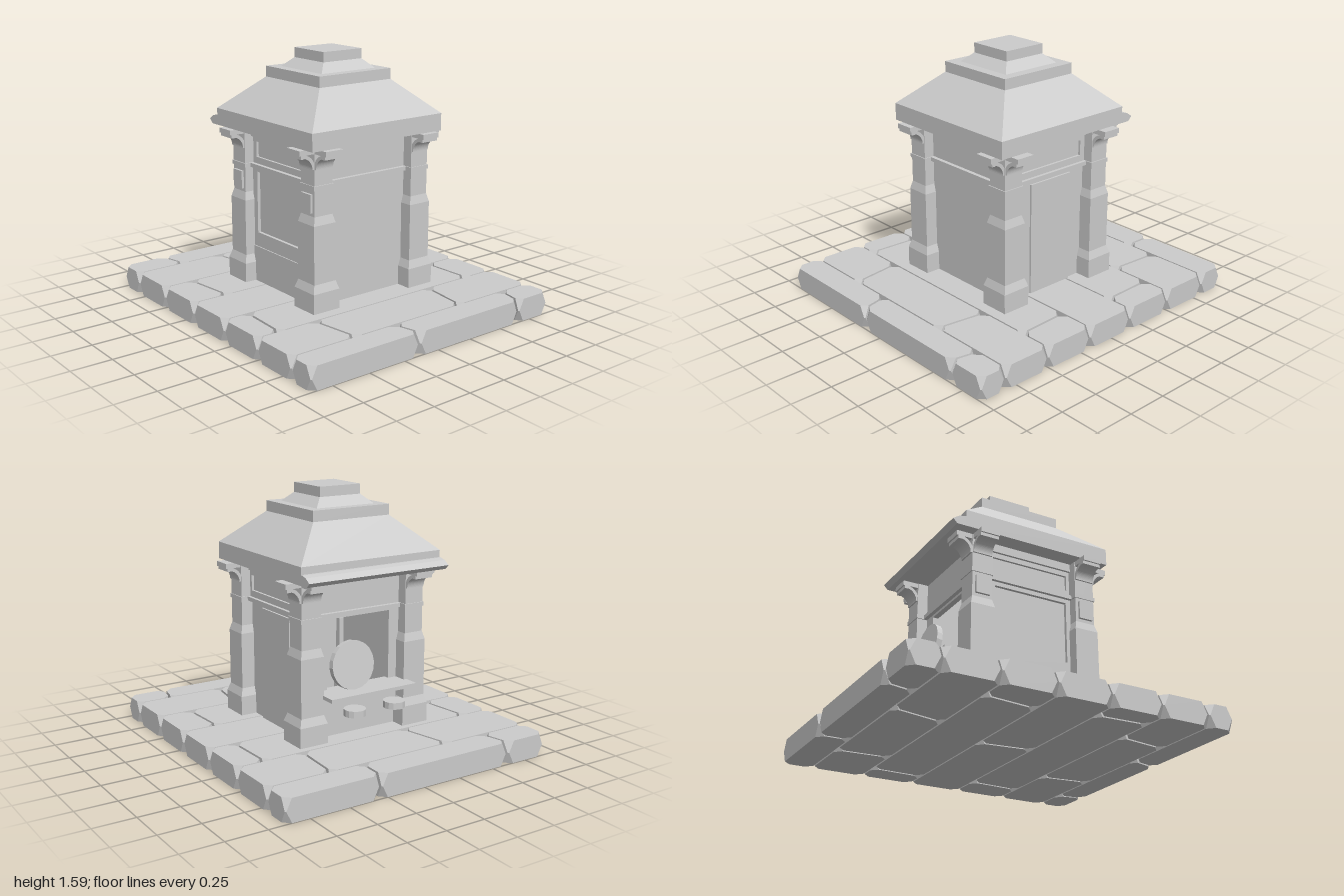
import * as THREE from 'three';

const grey = new THREE.MeshStandardMaterial({ color: 0xcccccc, flatShading: true, side: THREE.DoubleSide });

function add(parent, name, geometry, x = 0, y = 0, z = 0) {
  const mesh = new THREE.Mesh(geometry, grey);
  mesh.name = name;
  mesh.position.set(x, y, z);
  parent.add(mesh);
  return mesh;
}

// Box given by its limits on each axis
function block(parent, name, x0, x1, y0, y1, z0, z1) {
  return add(parent, name, new THREE.BoxGeometry(x1 - x0, y1 - y0, z1 - z0),
    (x0 + x1) / 2, (y0 + y1) / 2, (z0 + z1) / 2);
}

// Faceted solid through stacked rings; each ring is { y, points: [[x, z], ...] }
function loft(rings) {
  const pos = [];
  const n = rings[0].points.length;
  const put = (ring, i) => pos.push(ring.points[i % n][0], ring.y, ring.points[i % n][1]);
  for (let k = 0; k + 1 < rings.length; k++) {
    const a = rings[k], b = rings[k + 1];
    for (let i = 0; i < n; i++) {
      put(a, i); put(a, i + 1); put(b, i + 1);
      put(a, i); put(b, i + 1); put(b, i);
    }
  }
  const low = rings[0], high = rings[rings.length - 1];
  for (let i = 1; i + 1 < n; i++) {
    put(low, 0); put(low, i + 1); put(low, i);
    put(high, 0); put(high, i); put(high, i + 1);
  }
  const g = new THREE.BufferGeometry();
  g.setAttribute('position', new THREE.Float32BufferAttribute(pos, 3));
  g.computeVertexNormals();
  return g;
}

const rect = (x0, x1, z0, z1) => [[x0, z0], [x0, z1], [x1, z1], [x1, z0]];
const squareLoft = (profile) => loft(profile.map(([h, y]) => ({ y, points: rect(-h, h, -h, h) })));

// Cuts every corner of a polygon by a distance
function cutCorners(points, c) {
  const n = points.length;
  return points.flatMap((p, i) => [points[(i + n - 1) % n], points[(i + 1) % n]].map((q) => {
    const d = Math.hypot(q[0] - p[0], q[1] - p[1]);
    return [p[0] + (q[0] - p[0]) * c / d, p[1] + (q[1] - p[1]) * c / d];
  }));
}

// Rectangular frame in the xy plane, extruded along z
function frame(x0, x1, y0, y1, hx0, hx1, hy0, hy1, depth) {
  const s = new THREE.Shape([[x0, y0], [x1, y0], [x1, y1], [x0, y1]].map((p) => new THREE.Vector2(...p)));
  s.holes.push(new THREE.Path([[hx0, hy0], [hx0, hy1], [hx1, hy1], [hx1, hy0]].map((p) => new THREE.Vector2(...p))));
  return new THREE.ExtrudeGeometry(s, { depth, bevelEnabled: false });
}

function buildPaving() {
  const paving = new THREE.Group();
  paving.name = 'paving';
  // Column edges in x, and the slanted joints of each column as [z at left, z at right]
  const edges = [-1, -0.815, -0.485, -0.15, 0.185, 0.515, 0.83, 1];
  const joints = [
    [[-0.3, -0.295], [0.61, 0.57]],
    [[-0.5, -0.48], [0.3, 0.23]],
    [[-0.725, -0.735], [0.7, 0.66]],
    [[0.02, 0.06]],
    [[-0.68, -0.695], [0.73, 0.745]],
    [[-0.37, -0.33], [0.5, 0.455]],
    [[-0.68, -0.65], [0.18, 0.14]],
  ];
  const gap = 0.005;
  joints.forEach((column, c) => {
    const x0 = edges[c] + (c ? gap : 0), x1 = edges[c + 1] - (c < 6 ? gap : 0);
    const lines = [[-0.9, -0.9], ...column, [0.89, 0.89]];
    for (let i = 0; i + 1 < lines.length; i++) {
      const g0 = i ? 0.008 : 0, g1 = i + 2 < lines.length ? 0.008 : 0;
      const a = lines[i], b = lines[i + 1];
      const quad = [[x0, a[0] + g0], [x0, b[0] - g1], [x1, b[1] - g1], [x1, a[1] + g0]];
      add(paving, 'pavingStone', loft([[0, 0.04], [0.07, 0.006], [0.14, 0.04]]
        .map(([y, cut]) => ({ y, points: cutCorners(quad, cut) }))));
    }
  });
  return paving;
}

// Thin concave brace under a small slab, reaching out along +z
function buildBracket() {
  const bracket = new THREE.Group();
  bracket.name = 'bracket';
  block(bracket, 'bracketSlab', -0.06, 0.06, 1.075, 1.105, -0.03, 0.1);
  block(bracket, 'bracketLip', -0.06, 0.06, 1.055, 1.08, 0.065, 0.09);
  const s = new THREE.Shape();
  s.absarc(0.085, -0.115, 0.095, Math.PI / 2, Math.PI, false);
  s.absarc(0.085, -0.115, 0.075, Math.PI, Math.PI / 2, true);
  const brace = add(bracket, 'bracketBrace',
    new THREE.ExtrudeGeometry(s, { depth: 0.12, bevelEnabled: false, curveSegments: 8 }), 0.06, 1.1, 0);
  brace.rotation.y = -Math.PI / 2;
  return bracket;
}

export function createModel() {
  const model = new THREE.Group();
  model.name = 'kiosk';
  model.add(buildPaving());

  // Corner pillars with caps and outward brackets
  for (const sx of [-1, 1]) for (const sz of [-1, 1]) {
    const cx = sx * 0.348, cz = sz > 0 ? 0.355 : -0.37;
    const pillar = new THREE.Group();
    pillar.name = 'pillar';
    add(pillar, 'pillarShaft', squareLoft([[0.093, 0.14], [0.093, 0.26], [0.077, 0.31],
      [0.077, 0.66], [0.064, 0.71], [0.064, 1.11]]), cx, 0, cz);
    block(pillar, 'pillarCap', cx - 0.07, cx + 0.07, 0.865, 0.89, cz - 0.07, cz + 0.07);
    if (sz > 0) block(pillar, 'pillarPlaque', cx - 0.045, cx + 0.045, 0.73, 0.84, 0.41, 0.434);
    const outward = buildBracket();
    outward.position.set(cx, 0, cz + sz * 0.064);
    outward.rotation.y = sz > 0 ? 0 : Math.PI;
    const sideways = buildBracket();
    sideways.position.set(cx + sx * 0.064, 0, cz);
    sideways.rotation.y = sx * Math.PI / 2;
    pillar.add(outward, sideways);
    model.add(pillar);
  }

  // Walls, the right one (-x) open above the counter
  const walls = new THREE.Group();
  walls.name = 'walls';
  block(walls, 'frontWall', -0.33, 0.33, 0.14, 1.11, 0.31, 0.345);
  block(walls, 'backWall', -0.33, 0.33, 0.14, 1.11, -0.36, -0.325);
  block(walls, 'leftWall', 0.31, 0.345, 0.14, 1.11, -0.34, 0.33);
  const open = add(walls, 'servingWall', frame(-0.34, 0.33, 0.14, 1.11, -0.22, 0.22, 0.42, 0.85, 0.035), -0.31);
  open.rotation.y = -Math.PI / 2;
  model.add(walls);

  // Front display frame, skirt and back door
  add(model, 'displayFrame', frame(-0.28, 0.28, 0.365, 0.87, -0.235, 0.25, 0.455, 0.84, 0.02), 0, 0, 0.345);
  block(model, 'frontSkirt', -0.28, 0.28, 0.14, 0.365, 0.34, 0.372);
  block(model, 'door', -0.17, 0.15, 0.14, 0.84, -0.372, -0.35);

  // Band and frieze around the walls
  block(model, 'band', -0.36, 0.36, 0.865, 0.89, 0.32, 0.385);
  block(model, 'band', -0.36, 0.36, 0.865, 0.89, -0.395, -0.33);
  for (const s of [-1, 1]) block(model, 'band', s * 0.345 - 0.025, s * 0.345 + 0.025, 0.865, 0.89, -0.36, 0.35);
  for (const z of [0.345, -0.375]) {
    add(model, 'friezeFrame', frame(-0.28, 0.28, 0.89, 1.06, -0.245, 0.26, 0.93, 1.025, 0.015), 0, 0, z);
    block(model, 'friezeTop', -0.28, 0.28, 1.055, 1.11, z - 0.01, z + 0.03);
  }

  // Stepped roof
  add(model, 'roof', squareLoft([[0.482, 1.105], [0.482, 1.21], [0.265, 1.41], [0.265, 1.475],
    [0.2, 1.475], [0.142, 1.53], [0.142, 1.59]]), -0.005, 0, 0);
  const lip = new THREE.Shape([[-0.47, 1.105], [-0.47, 1.168], [-0.5, 1.166], [-0.535, 1.157], [-0.572, 1.132],
    [-0.545, 1.105]].map((p) => new THREE.Vector2(...p)));
  add(model, 'awning', new THREE.ExtrudeGeometry(lip, { depth: 0.964, bevelEnabled: false }), 0, 0, -0.482);

  // Counter with a leaning disc and two stool seats
  block(model, 'counter', -0.52, -0.31, 0.405, 0.427, -0.3, 0.3);
  const disc = add(model, 'disc', new THREE.CylinderGeometry(0.145, 0.145, 0.035, 20), -0.425, 0.582, -0.1);
  disc.rotation.z = Math.PI / 2 - 0.13;
  for (const z of [-0.15, 0.13]) {
    add(model, 'stoolSeat', new THREE.CylinderGeometry(0.066, 0.066, 0.04, 14), -0.531, 0.335, z);
  }
  return model;
}
